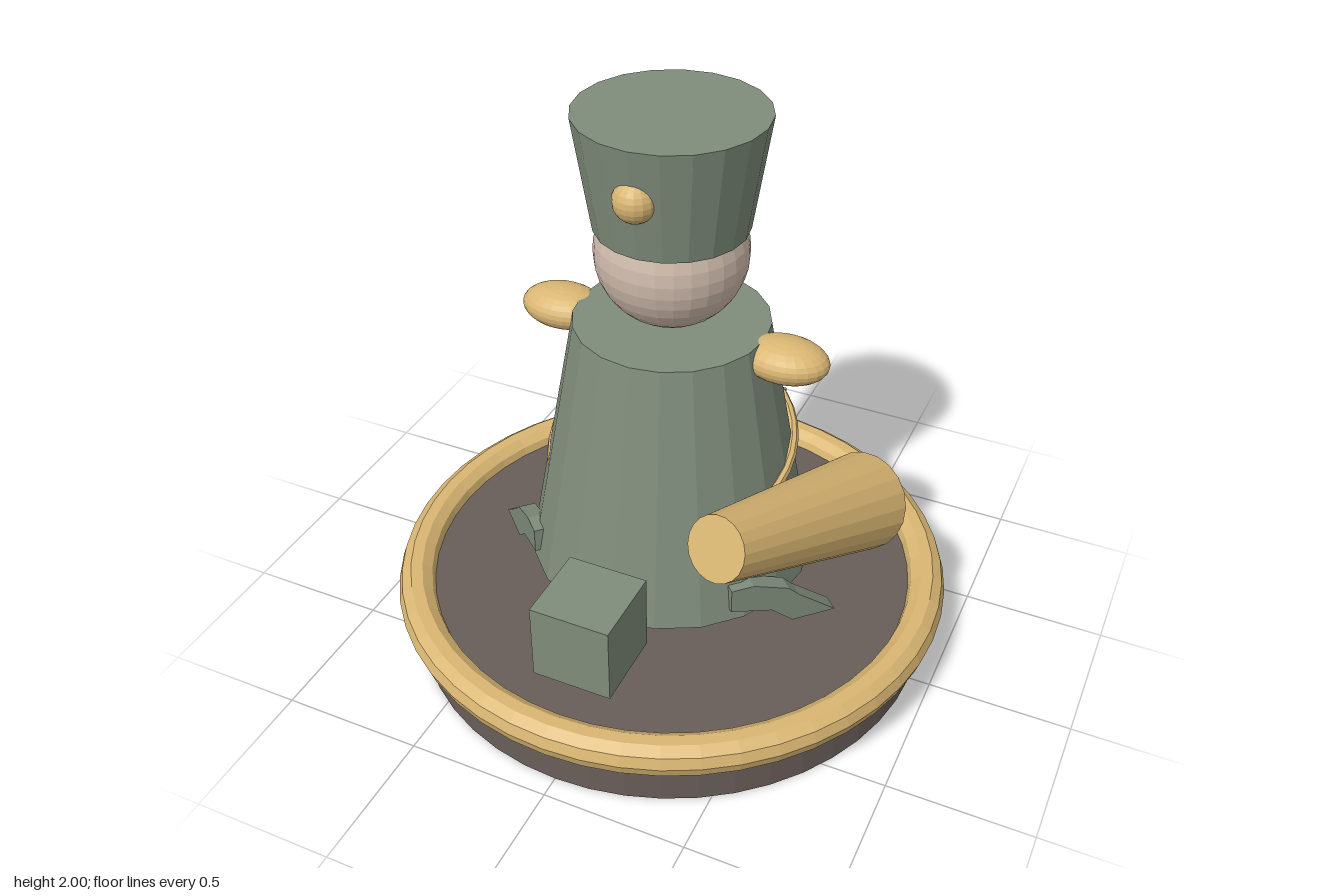
import * as THREE from 'three';

const mat = (name, color) => {
  const m = new THREE.MeshStandardMaterial({ color, flatShading: true });
  m.name = name;
  return m;
};

export function createModel() {
  const green = mat('sage green', 0x7f8c7b);
  const gold = mat('gold', 0xd9b673);
  const brown = mat('dark brown', 0x695e59);
  const skin = mat('pale skin', 0xcfbbac);
  const group = new THREE.Group();

  const add = (name, geometry, material, x = 0, y = 0, z = 0) => {
    const mesh = new THREE.Mesh(geometry, material);
    mesh.name = name;
    mesh.position.set(x, y, z);
    group.add(mesh);
    return mesh;
  };

  // Leg cut from a side profile (outward distance, height), pointing along an angle
  const addLeg = (name, profile, width, angle, x, z) => {
    const shape = new THREE.Shape(profile.map(([s, y]) => new THREE.Vector2(s, y)));
    const geometry = new THREE.ExtrudeGeometry(shape, { depth: width, bevelEnabled: false });
    geometry.translate(0, 0, -width / 2);
    add(name, geometry, green, x, 0, z).rotation.y = angle;
  };

  // Round stand with a thick rim
  add('base', new THREE.CylinderGeometry(0.925, 0.925, 0.22, 48), brown, 0, 0.11, 0);
  const rim = add('rim', new THREE.TorusGeometry(0.925, 0.067, 10, 48), gold, 0, 0.21, 0);
  rim.rotation.x = Math.PI / 2;

  // Tapered coat, head and tall hat
  add('coat', new THREE.CylinderGeometry(0.33, 0.5, 0.925, 20), green, 0, 0.8075, 0);
  add('head', new THREE.SphereGeometry(0.253, 28, 18), skin, 0, 1.525, 0);
  add('hat', new THREE.CylinderGeometry(0.313, 0.253, 0.385, 20), green, 0, 1.8075, 0);
  add('hatBadge', new THREE.SphereGeometry(0.071, 16, 12), gold, 0, 1.82, 0.26);

  // Tilted strap around the coat
  const strap = add('strap', new THREE.TorusGeometry(0.42, 0.02, 8, 40), gold, 0, 0.77, 0);
  strap.rotation.x = Math.PI / 2 + 0.32;

  // Tapered drum, slung on the left
  const front = new THREE.Vector3(0.455, 0.965, 0.68);
  const back = new THREE.Vector3(0.675, 0.665, -0.08);
  const axis = front.clone().sub(back);
  const drum = add('drum', new THREE.CylinderGeometry(0.105, 0.167, axis.length(), 20), gold);
  drum.position.copy(front).add(back).multiplyScalar(0.5);
  drum.quaternion.setFromUnitVectors(new THREE.Vector3(0, 1, 0), axis.normalize());

  // Block at the front, joined by a short neck
  add('frontBlock', new THREE.BoxGeometry(0.28, 0.28, 0.28), green, 0, 0.44, 0.645);
  add('blockNeck', new THREE.BoxGeometry(0.09, 0.12, 0.2), green, 0, 0.42, 0.41);

  // Paired shoulder pads, splayed side legs and rear legs
  const sideProfile = [[-0.08, 0.39], [0.07, 0.35], [0.15, 0.28], [0.31, 0.28],
    [0.17, 0.39], [0.13, 0.43], [0, 0.48], [-0.08, 0.48]];
  const rearProfile = [[-0.3, 0.347], [-0.1, 0.33], [0.1, 0.32], [0.4, 0.32], [0.48, 0.345],
    [0.7, 0.4], [0.735, 0.28], [0.785, 0.28], [0.785, 0.53], [0.69, 0.49], [0.48, 0.44], [-0.3, 0.44]];
  for (const [side, s] of [['left', 1], ['right', -1]]) {
    const pad = add(side + 'ShoulderPad', new THREE.SphereGeometry(1, 24, 14), gold, s * 0.4, 1.213, 0);
    pad.scale.set(0.15, 0.072, 0.105);
    addLeg(side + 'SideLeg', sideProfile, 0.06, s > 0 ? Math.PI / 4 : 3 * Math.PI / 4, s * 0.41, 0.26);
    addLeg(side + 'RearLeg', rearProfile, 0.09, Math.PI / 2, s * 0.09, 0);
  }
  return group;
}
